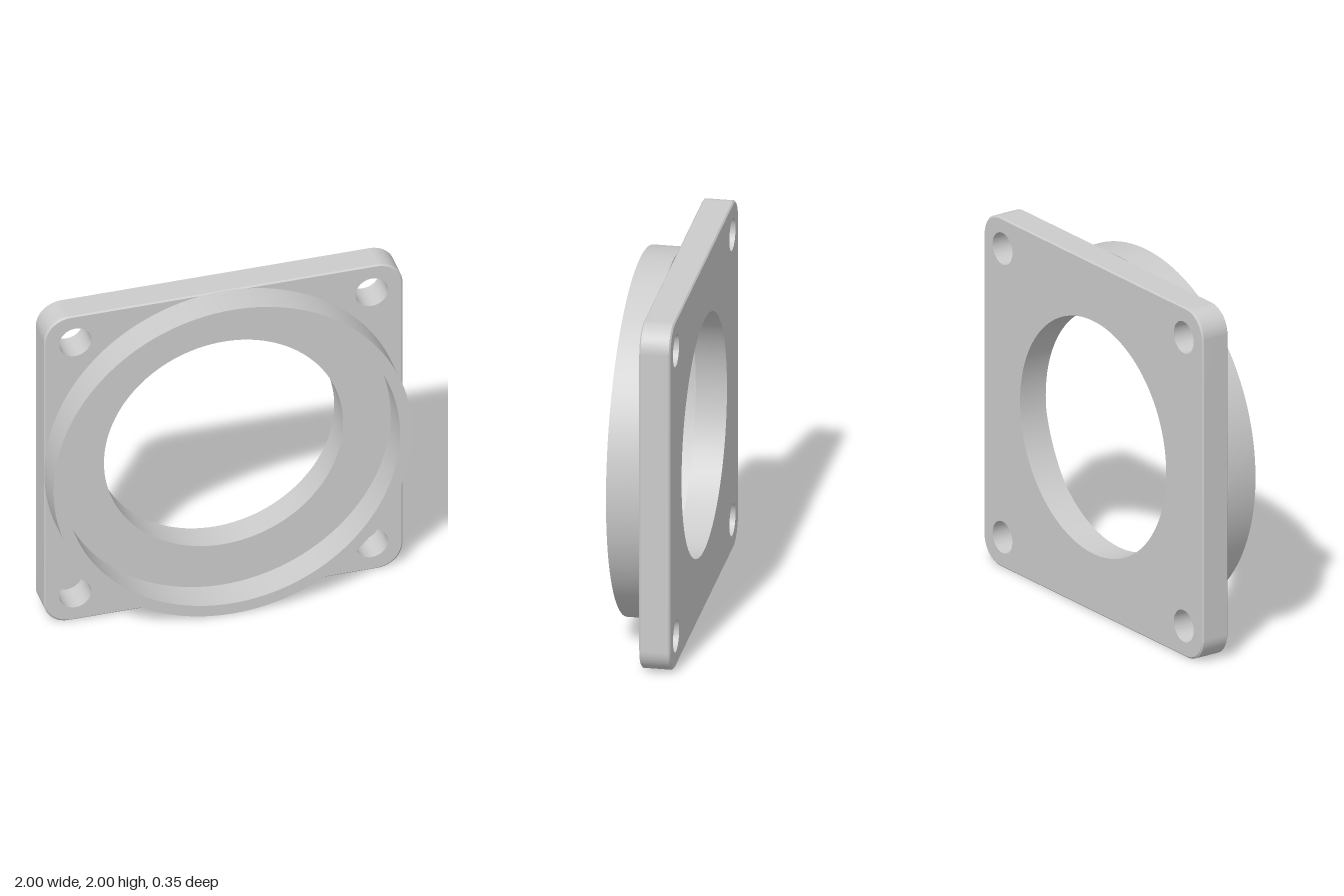
import * as THREE from 'three';
import { toCreasedNormals } from 'three/addons/utils/BufferGeometryUtils.js';

const BACK = -0.175, FACE = -0.005, FRONT = 0.175;
const BORE = 0.667, CORNER = 0.14, CHAMFER = 0.008;
const HOLE_POS = 0.827, HOLE_R = 0.09;

function circleHole(x, y, r) {
  return new THREE.Path().absarc(x, y, r, 0, Math.PI * 2, true);
}

// Rounded square plate with a large bore and four bolt holes
function plateGeometry() {
  const shape = new THREE.Shape();
  const c = 1 - CORNER;
  [[c, c], [-c, c], [-c, -c], [c, -c]].forEach(([x, y], i) => {
    shape.absarc(x, y, CORNER, i * Math.PI / 2, (i + 1) * Math.PI / 2, false);
  });
  shape.closePath();
  shape.holes.push(circleHole(0, 0, BORE));
  for (const x of [-HOLE_POS, HOLE_POS]) {
    for (const y of [-HOLE_POS, HOLE_POS]) shape.holes.push(circleHole(x, y, HOLE_R));
  }
  const depth = FACE - BACK;
  const geo = new THREE.ExtrudeGeometry(shape, { depth, steps: 3, bevelEnabled: false, curveSegments: 64 });

  // Pull the outer rim of both faces inward for a fine chamfer
  const levels = [0, CHAMFER, depth - CHAMFER, depth];
  const p = geo.attributes.position;
  for (let i = 0; i < p.count; i++) {
    const x = p.getX(i), y = p.getY(i);
    const layer = Math.round(p.getZ(i) / depth * 3);
    const rim = Math.max(Math.abs(x), Math.abs(y)) > 0.94;
    const k = rim && (layer === 0 || layer === 3) ? 1 - CHAMFER : 1;
    p.setXYZ(i, x * k, y * k, BACK + levels[layer]);
  }
  return toCreasedNormals(geo, 0.5);
}

// Thin raised collar standing on the front face
function collarGeometry() {
  const profile = [[0.932, FACE], [1, FACE], [1, FRONT], [0.932, FRONT], [0.932, FACE]]
    .map(([r, h]) => new THREE.Vector2(r, h));
  const geo = new THREE.LatheGeometry(profile, 128);
  geo.rotateX(Math.PI / 2);
  return toCreasedNormals(geo, 0.5);
}

export function createModel() {
  const group = new THREE.Group();
  group.name = 'squareFlange';
  const material = new THREE.MeshStandardMaterial({ color: 0xcccccc });
  const parts = { mountingPlate: plateGeometry(), collar: collarGeometry() };
  for (const [name, geometry] of Object.entries(parts)) {
    const mesh = new THREE.Mesh(geometry, material);
    mesh.name = name;
    mesh.position.y = 1;
    group.add(mesh);
  }
  return group;
}
